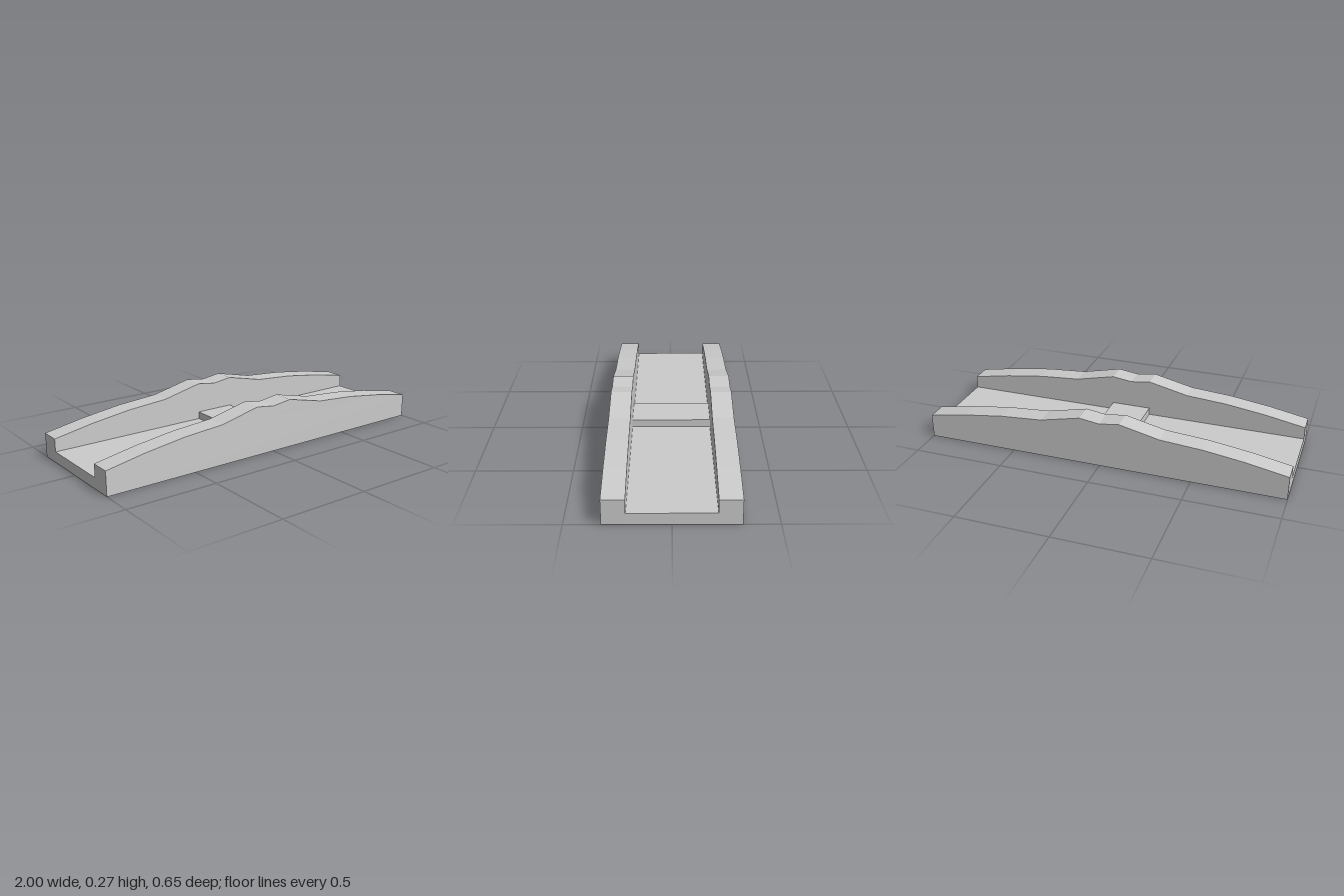
import * as THREE from 'three';

const OUTER = 0.325, INNER = 0.212;
// Half of the wall's top edge, from the centre outwards
const HALF_EDGE = [[0.11, 0.267], [0.33, 0.217], [0.56, 0.2], [0.78, 0.17], [1, 0.13]];

export function createModel() {
  const group = new THREE.Group();
  const material = new THREE.MeshStandardMaterial({ color: 0xcccccc, flatShading: true });

  function add(name, geometry, x, y, z) {
    const mesh = new THREE.Mesh(geometry, material);
    mesh.name = name;
    mesh.position.set(x, y, z);
    group.add(mesh);
  }

  // Side walls: one stepped, mirrored outline extruded to the wall thickness
  const outline = [
    [-1, 0], [1, 0],
    ...[...HALF_EDGE].reverse(),
    [0, 0.252],
    ...HALF_EDGE.map(([x, y]) => [-x, y]),
  ];
  const shape = new THREE.Shape(outline.map(([x, y]) => new THREE.Vector2(x, y)));
  const wall = new THREE.ExtrudeGeometry(shape, { depth: OUTER - INNER, bevelEnabled: false });
  add('frontWall', wall, 0, 0, INNER);
  add('backWall', wall, 0, 0, -OUTER);

  // Sunken floor between the walls
  add('floor', new THREE.BoxGeometry(2, 0.06, 2 * INNER), 0, 0.03, 0);

  // Raised block across the middle of the floor
  add('centreBlock', new THREE.BoxGeometry(0.22, 0.04, 2 * INNER), 0, 0.08, 0);

  return group;
}
